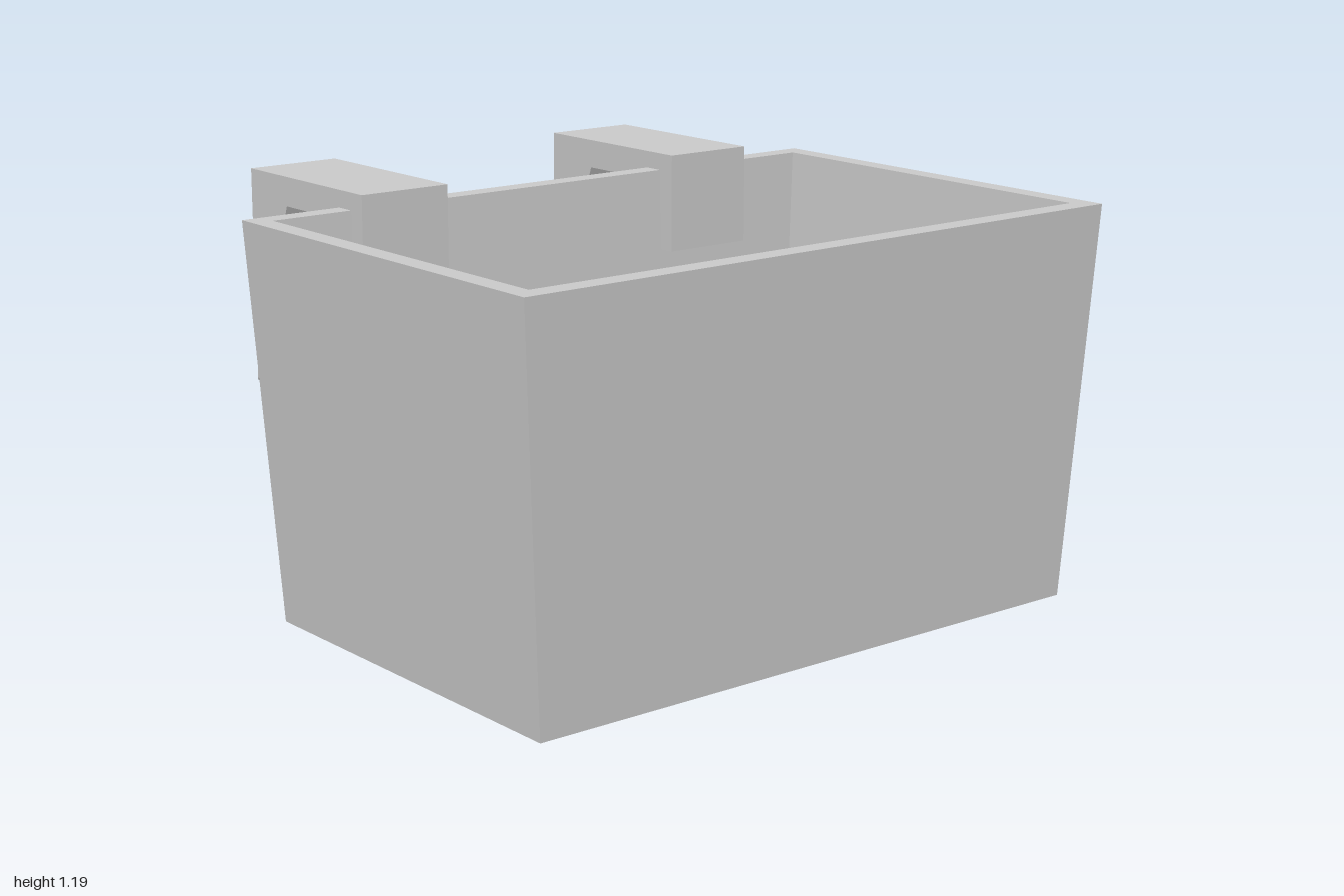
import * as THREE from 'three';

const material = new THREE.MeshStandardMaterial({ color: 0xcccccc, flatShading: true });

// Rectangular ring of four corners, counter-clockwise seen from above
function ring(y, halfX, back, front) {
  return [[-halfX, y, front], [halfX, y, front], [halfX, y, back], [-halfX, y, back]];
}

// Tapered open bin: skin running up the outside, over the rim and down the inside
function createBin() {
  const rings = [
    ring(0, 0.93, -0.36, 0.825),
    ring(1.14, 1, -0.405, 0.87),
    ring(1.14, 0.94, -0.345, 0.807),
    ring(0.06, 0.875, -0.31, 0.77),
  ];
  const positions = [];
  const quad = (a, b, c, d) => positions.push(...a, ...b, ...c, ...a, ...c, ...d);
  for (let r = 0; r < rings.length - 1; r++) {
    const lower = rings[r], upper = rings[r + 1];
    for (let i = 0; i < 4; i++) {
      const j = (i + 1) % 4;
      quad(lower[i], lower[j], upper[j], upper[i]);
    }
  }
  quad(...rings[3]); // inner floor
  quad(...[...rings[0]].reverse()); // underside
  const geometry = new THREE.BufferGeometry();
  geometry.setAttribute('position', new THREE.Float32BufferAttribute(positions, 3));
  geometry.computeVertexNormals();
  return geometry;
}

// Hook side profile as (z, y), extruded across x and centred
function createHook() {
  const profile = [
    [-0.29, 1.19], [-0.87, 1.19], [-0.87, 0.56], [-0.68, 1.105], [-0.485, 1.105],
    [-0.445, 0.9], [-0.4, 0.9], [-0.4, 1.14], [-0.342, 1.14], [-0.342, 0.9], [-0.29, 0.9],
  ];
  const shape = new THREE.Shape(profile.map(([z, y]) => new THREE.Vector2(z, y)));
  const width = 0.285;
  const geometry = new THREE.ExtrudeGeometry(shape, { depth: width, bevelEnabled: false });
  return geometry.translate(0, 0, -width / 2).rotateY(-Math.PI / 2);
}

export function createModel() {
  const group = new THREE.Group();
  group.name = 'hangingBin';

  const bin = new THREE.Mesh(createBin(), material);
  bin.name = 'bin';
  group.add(bin);

  // Pair of hooks clipped over the back wall
  const hookGeometry = createHook();
  for (const [name, side] of [['leftHook', 1], ['rightHook', -1]]) {
    const hook = new THREE.Mesh(hookGeometry, material);
    hook.name = name;
    hook.position.x = side * 0.548;
    group.add(hook);
  }
  return group;
}
